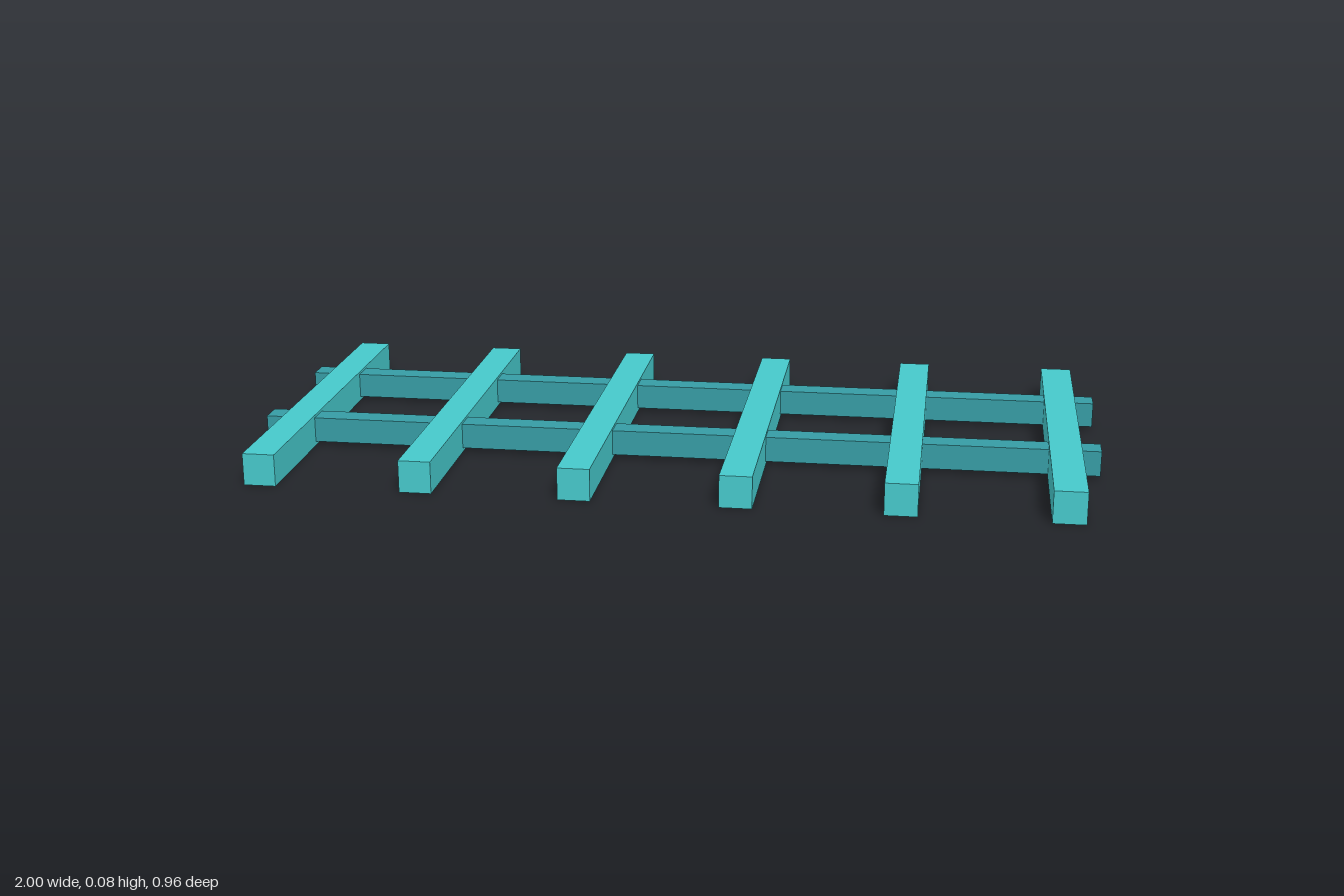
import * as THREE from 'three';

export function createModel() {
  const group = new THREE.Group();
  const slatPaint = new THREE.MeshStandardMaterial({ color: 0x46c8cb });
  slatPaint.name = 'light turquoise';
  const railPaint = new THREE.MeshStandardMaterial({ color: 0x369ca4 });
  railPaint.name = 'dark turquoise';

  const addBeam = (name, size, position, material) => {
    const beam = new THREE.Mesh(new THREE.BoxGeometry(...size), material);
    beam.name = name;
    beam.position.set(...position);
    group.add(beam);
  };

  // Six evenly spaced cross slats
  const slatCount = 6, spacing = 0.367;
  for (let i = 0; i < slatCount; i++) {
    const x = (i - (slatCount - 1) / 2) * spacing;
    addBeam(`slat${i + 1}`, [0.075, 0.076, 0.958], [x, 0.038, 0], slatPaint);
  }

  // Two thinner long rails running through the slats
  addBeam('frontRail', [2, 0.06, 0.058], [0, 0.04, 0.148], railPaint);
  addBeam('backRail', [2, 0.06, 0.058], [0, 0.04, -0.229], railPaint);

  return group;
}
